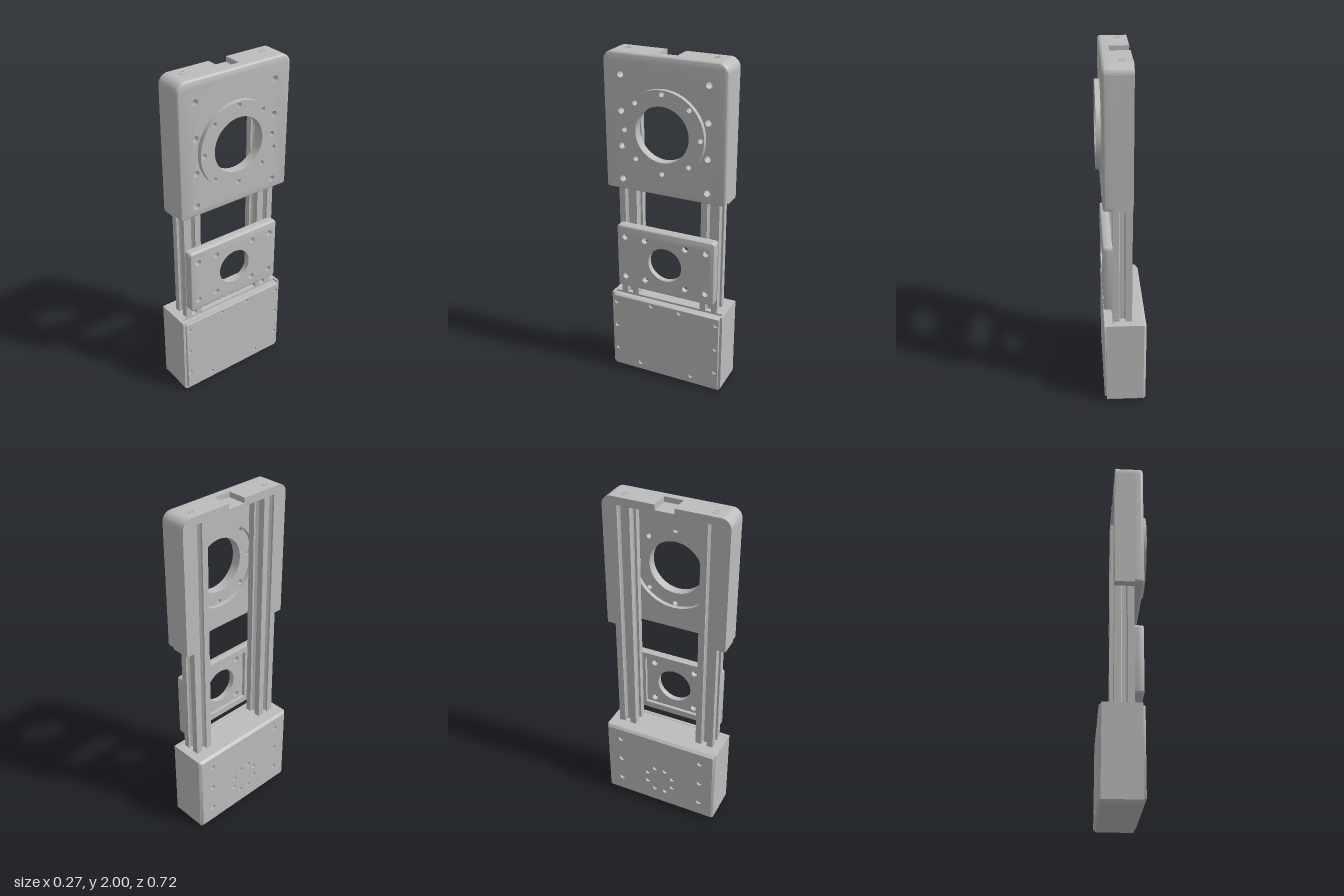
import * as THREE from 'three';
import { toCreasedNormals } from 'three/addons/utils/BufferGeometryUtils.js';

const grey = new THREE.MeshStandardMaterial({ color: 0xbcbcbc });
grey.name = 'machined grey';

function add(parent, name, geometry, x = 0, y = 0, z = 0) {
  const mesh = new THREE.Mesh(geometry, grey);
  mesh.name = name;
  mesh.position.set(x, y, z);
  parent.add(mesh);
  return mesh;
}

function punch(shape, x, y, r) {
  const hole = new THREE.Path();
  hole.absarc(x, y, r, 0, Math.PI * 2, true);
  shape.holes.push(hole);
}

const polygon = (pts) => new THREE.Shape(pts.map(([x, y]) => new THREE.Vector2(x, y)));

function extrude(shape, depth, steps = 1) {
  return new THREE.ExtrudeGeometry(shape, { depth, steps, bevelEnabled: false, curveSegments: 20 });
}

const smooth = (geometry) => toCreasedNormals(geometry, 0.6);

// Rounded rectangle centred on x = 0, with separate top and bottom corner radii
function roundedRect(w, y0, y1, rt, rb) {
  const s = new THREE.Shape(), q = Math.PI / 2;
  s.absarc(w - rb, y0 + rb, rb, -q, 0);
  s.absarc(w - rt, y1 - rt, rt, 0, q);
  s.absarc(rt - w, y1 - rt, rt, q, 2 * q);
  s.absarc(rb - w, y0 + rb, rb, 2 * q, 3 * q);
  s.closePath();
  return s;
}

// Plate whose outer front edge is rounded (or chamfered with segs = 1); holes stay straight
function edgedPlate({ w, y0, y1, rt, rb, depth, bevel, segs = 4, holes = [] }) {
  const shape = roundedRect(w, y0, y1, rt, rb);
  holes.forEach(([x, y, r]) => punch(shape, x, y, r));
  const steps = segs + 1;
  const geo = extrude(shape, depth, steps);
  const p = geo.attributes.position;
  const mid = (y0 + y1) / 2;
  for (let i = 0; i < p.count; i++) {
    const x = p.getX(i), y = p.getY(i);
    const layer = Math.round((p.getZ(i) / depth) * steps);
    const a = (Math.max(0, layer - 1) / segs) * Math.PI / 2;
    p.setZ(i, layer === 0 ? 0 : depth - bevel + bevel * Math.sin(a));
    const r = y > mid ? rt : rb;
    const cx = Math.sign(x) * Math.min(Math.abs(x), w - r);
    const cy = Math.min(Math.max(y, y0 + r), y1 - r);
    const d = Math.hypot(x - cx, y - cy);
    if (d > r - 1e-4) {
      const k = bevel * (1 - Math.cos(a)) / d;
      p.setXY(i, x - (x - cx) * k, y - (y - cy) * k);
    }
  }
  return smooth(geo);
}

const mirrored = (list) => list.flatMap(([x, y, r]) => [[x, y, r], [-x, y, r]]);

// Slotted square rail profile, one slot per side
function railShape() {
  const h = 0.055;
  const side = [[-h, h], [-0.018, h], [-0.018, h - 0.012], [-0.028, h - 0.012], [-0.012, h - 0.03],
    [0.012, h - 0.03], [0.028, h - 0.012], [0.018, h - 0.012], [0.018, h]];
  const pts = [];
  for (let k = 0; k < 4; k++) {
    const c = Math.round(Math.cos(k * Math.PI / 2)), s = Math.round(Math.sin(k * Math.PI / 2));
    side.forEach(([x, y]) => pts.push([x * c + y * s, y * c - x * s]));
  }
  return polygon(pts);
}

export function createModel() {
  const model = new THREE.Group();
  model.name = 'railStand';
  // Plates are drawn in x/y and stacked along z, then turned to face +x
  const unit = new THREE.Group();
  unit.name = 'assembly';
  unit.rotation.y = Math.PI / 2;
  model.add(unit);

  // Rails
  const rail = extrude(railShape(), 1.47);
  rail.rotateX(-Math.PI / 2);
  for (const s of [-1, 1]) add(unit, 'rail', rail, s * 0.255, 0.49, 0);

  // Head: frame around the rails, with a notch in its top
  const R = 0.055, frame = new THREE.Shape();
  frame.moveTo(-0.36, 1.22);
  frame.lineTo(-0.31, 1.22);
  frame.lineTo(-0.31, 1.955);
  frame.lineTo(0.31, 1.955);
  frame.lineTo(0.31, 1.22);
  frame.lineTo(0.36, 1.22);
  frame.absarc(0.36 - R, 2 - R, R, 0, Math.PI / 2);
  frame.lineTo(0.055, 2);
  frame.lineTo(0.055, 1.97);
  frame.lineTo(-0.055, 1.97);
  frame.lineTo(-0.055, 2);
  frame.absarc(R - 0.36, 2 - R, R, Math.PI / 2, Math.PI);
  frame.closePath();
  add(unit, 'headFrame', smooth(extrude(frame, 0.11)), 0, 0, -0.055);

  // Head front plate
  add(unit, 'headPlate', edgedPlate({
    w: 0.36, y0: 1.22, y1: 2, rt: R, rb: 0.018, depth: 0.053, bevel: 0.017,
    holes: [[0, 1.585, 0.238],
      ...mirrored([1.88, 1.68, 1.48, 1.285].map((y) => [0.255, y, 0.018]))],
  }), 0, 0, 0.055);

  // Flange ring with its bolt circle
  const ring = new THREE.Shape();
  ring.absarc(0, 0, 0.245, 0, Math.PI * 2);
  punch(ring, 0, 0, 0.157);
  for (let i = 0; i < 8; i++) {
    const a = (i * Math.PI) / 4;
    punch(ring, 0.223 * Math.cos(a), 0.223 * Math.sin(a), 0.014);
  }
  const ringGeo = smooth(new THREE.ExtrudeGeometry(ring, { depth: 0.055, bevelEnabled: false, curveSegments: 32 }));
  add(unit, 'flangeRing', ringGeo, 0, 1.585, 0.08);

  // Thin collars for the screws in the head top
  const collar = new THREE.Shape();
  collar.absarc(0, 0, 0.019, 0, Math.PI * 2);
  punch(collar, 0, 0, 0.014);
  const collarGeo = smooth(extrude(collar, 0.003));
  collarGeo.rotateX(-Math.PI / 2);
  for (const s of [-1, 1]) add(unit, 'topScrew', collarGeo, s * 0.255, 1.999, 0);

  // Carriage: front plate and a rear frame that leaves a pocket
  const screws = mirrored([[0.255, 0.915, 0.018], [0.255, 0.657, 0.018],
    [0.128, 0.915, 0.018], [0.128, 0.657, 0.018]]);
  add(unit, 'carriagePlate', edgedPlate({
    w: 0.307, y0: 0.587, y1: 0.987, rt: 0.018, rb: 0.018, depth: 0.033, bevel: 0.012,
    holes: [[0, 0.785, 0.105], ...screws],
  }), 0, 0, 0.073);
  const rear = roundedRect(0.307, 0.587, 0.987, 0.018, 0.018);
  rear.holes.push(polygon([[-0.18, 0.625], [-0.18, 0.95], [0.18, 0.95], [0.18, 0.625]]));
  add(unit, 'carriageFrame', smooth(extrude(rear, 0.02)), 0, 0, 0.053);

  // Base body with chamfered lower corners and a slightly lower front section
  const foot = [[-0.36, 0.015], [-0.345, 0], [0.345, 0], [0.36, 0.015], [0.36, 0.515]];
  add(unit, 'baseBody', extrude(polygon([...foot, [-0.36, 0.515]]), 0.176), 0, 0, -0.121);
  add(unit, 'baseFront', extrude(polygon([...foot, [0.345, 0.515], [0.345, 0.503],
    [-0.345, 0.503], [-0.345, 0.515], [-0.36, 0.515]]), 0.037), 0, 0, 0.055);

  // Base front cover
  add(unit, 'baseCover', edgedPlate({
    w: 0.345, y0: 0.02, y1: 0.505, rt: 0.005, rb: 0.005, depth: 0.022, bevel: 0.003, segs: 1,
    holes: mirrored([[0.325, 0.46, 0.013], [0.325, 0.295, 0.013], [0.325, 0.13, 0.013],
      [0.092, 0.484, 0.013], [0.17, 0.057, 0.013]]),
  }), 0, 0, 0.083);

  // Base back plate with side screws and a circle of small holes
  const backHoles = mirrored([0.43, 0.27, 0.11].map((y) => [0.265, y, 0.016]));
  for (let i = 0; i < 8; i++) {
    const a = ((i + 0.5) * Math.PI) / 4;
    backHoles.push([0.09 * Math.cos(a), 0.19 + 0.09 * Math.sin(a), 0.014]);
  }
  const back = add(unit, 'baseBack', edgedPlate({
    w: 0.36, y0: 0, y1: 0.515, rt: 0.016, rb: 0.016, depth: 0.015, bevel: 0.014, segs: 1, holes: backHoles,
  }), 0, 0, -0.12);
  back.rotation.y = Math.PI;

  return model;
}
